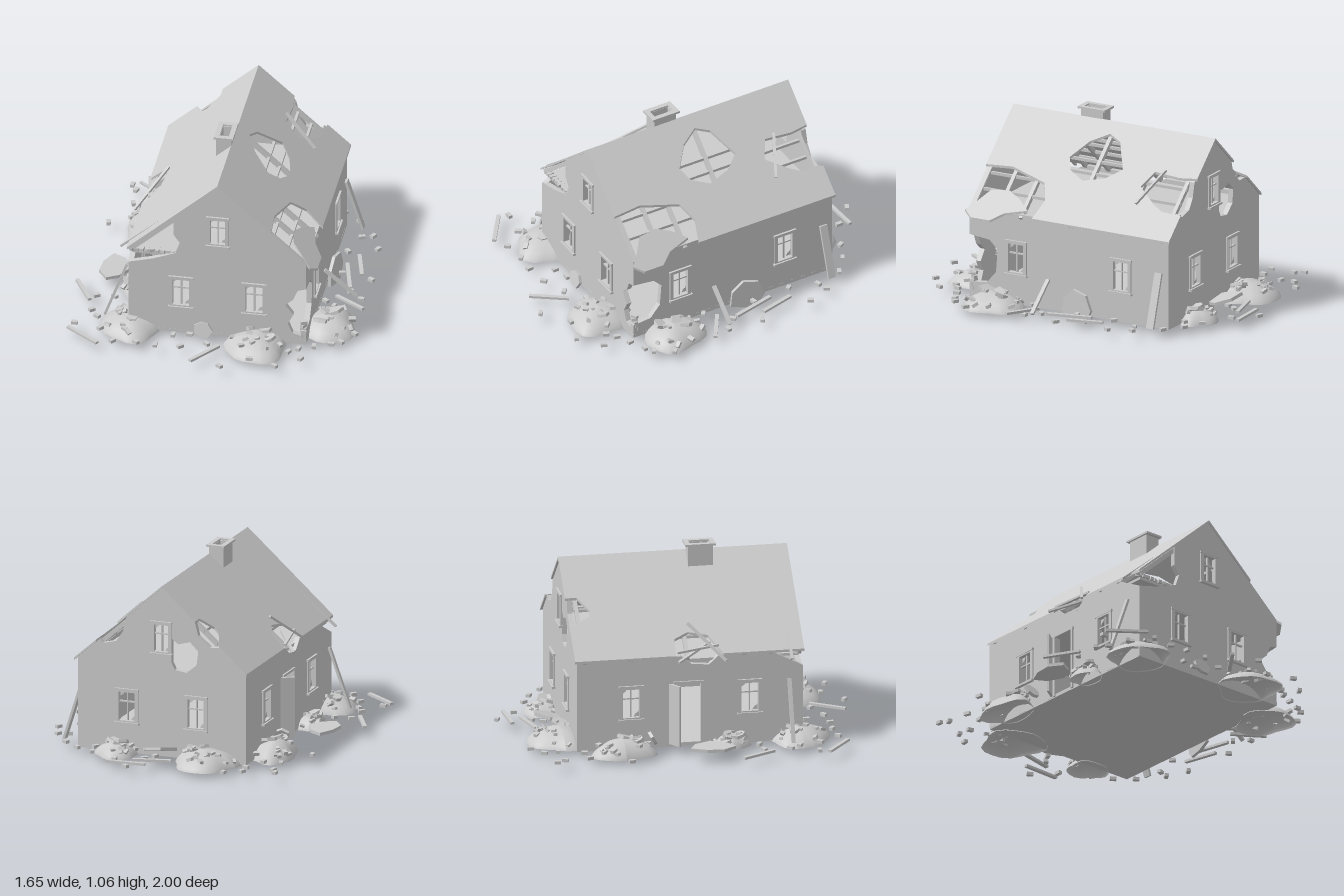
import * as THREE from 'three';

const RIDGE_X = 0.047, RIDGE_Y = 0.985, SLOPE = 0.89;
const X0 = -0.455, X1 = 0.548, Z0 = -0.645, Z1 = 0.63;
const roofY = x => RIDGE_Y - SLOPE * Math.abs(x - RIDGE_X);

export function createModel() {
  const root = new THREE.Group();
  const mat = new THREE.MeshStandardMaterial({ color: 0xcccccc, flatShading: true, side: THREE.DoubleSide });
  const smooth = new THREE.MeshStandardMaterial({ color: 0xcccccc, side: THREE.DoubleSide });
  let seed = 7;
  const rnd = (a = 0, b = 1) => {
    seed = (seed * 16807) % 2147483647;
    return a + (b - a) * seed / 2147483647;
  };
  const add = (name, geo, parent = root, m = mat) => {
    const mesh = new THREE.Mesh(geo, m);
    mesh.name = name;
    parent.add(mesh);
    return mesh;
  };
  const group = (name, parent = root) => {
    const g = new THREE.Group();
    g.name = name;
    parent.add(g);
    return g;
  };
  const box = (name, w, h, d, x, y, z, parent = root) => {
    const m = add(name, new THREE.BoxGeometry(w, h, d), parent);
    m.position.set(x, y, z);
    return m;
  };
  // Straight timber between two points
  const beam = (name, a, b, w, h, parent = root) => {
    const p = new THREE.Vector3(...a), q = new THREE.Vector3(...b);
    const m = add(name, new THREE.BoxGeometry(w, h, p.distanceTo(q)), parent);
    m.position.copy(p).lerp(q, 0.5);
    m.lookAt(q);
    return m;
  };
  const poly = pts => pts.map(p => new THREE.Vector2(p[0], p[1]));
  const plate = (outline, holes, depth) => {
    const s = new THREE.Shape(poly(outline));
    holes.forEach(h => s.holes.push(new THREE.Path(poly(h))));
    return new THREE.ExtrudeGeometry(s, { depth, bevelEnabled: false });
  };
  const rect = (cx, y0, w, h) => [[cx - w / 2, y0], [cx + w / 2, y0], [cx + w / 2, y0 + h], [cx - w / 2, y0 + h]];
  const W = 0.11, H = 0.18, WY = 0.18, T = 0.03;
  const win = cx => rect(cx, WY, W, H);
  const attic = rect(0.05, 0.6, 0.1, 0.17);
  const under = x => roofY(x) - 0.012;

  // Floors
  box('groundFloor', X1 - X0, 0.02, Z1 - Z0, 0.047, 0.015, -0.007);
  box('atticFloor', X1 - X0 - 0.04, 0.015, Z1 - Z0 - 0.04, 0.047, 0.495, -0.007);

  // Gable walls with broken edges
  add('frontWall', plate([[X0, 0.01], [X1, 0.01], [X1, 0.05], [0.47, 0.07], [0.445, 0.13], [0.475, 0.19], [0.43, 0.25],
    [0.475, 0.29], [0.5, 0.35], [X1, 0.365], [X1, under(X1)], [RIDGE_X, under(RIDGE_X)], [-0.2, under(-0.2)],
    [-0.2, 0.64], [-0.165, 0.59], [-0.19, 0.52], [-0.32, 0.47], [X0, 0.435]],
  [win(-0.157), win(0.255), attic], T)).translateZ(Z1 - T);
  add('backWall', plate([[X0, 0.01], [X1, 0.01], [X1, under(X1)], [0.42, under(0.42)], [0.4, 0.62], [0.32, 0.64], [0.28, 0.7],
    [0.26, under(0.26)], [RIDGE_X, under(RIDGE_X)], [-0.15, under(-0.15)], [-0.17, 0.72], [-0.24, 0.66], [-0.3, under(-0.3)],
    [X0, under(X0)]],
  [win(-0.157), win(0.255), attic,
    [[-0.01, 0.55], [-0.03, 0.51], [-0.1, 0.5], [-0.16, 0.55], [-0.17, 0.63], [-0.12, 0.68], [-0.05, 0.66], [-0.01, 0.69]]],
  T)).translateZ(Z0);

  // Side walls, drawn along z
  const sideWall = (name, outline, holes, x) => {
    const g = plate(outline, holes, T);
    g.rotateY(-Math.PI / 2);
    add(name, g).position.x = x;
  };
  const eave = under(X1);
  sideWall('leftSideWall', [[Z0, 0.01], [Z1, 0.01], [Z1, 0.09], [0.52, 0.1], [0.46, 0.17], [0.45, 0.3], [0.5, 0.35],
    [Z1, 0.365], [Z1, eave], [Z0, eave]], [win(0.33), win(-0.34)], X1);
  sideWall('rightSideWall', [[Z0, 0.01], [-0.09, 0.01], [-0.09, 0.37], [0.06, 0.37], [0.06, 0.01], [Z1, 0.01],
    [Z1, 0.435], [0.52, 0.49], [0.45, eave], [0.16, eave], [0.1, 0.47], [0, 0.48], [-0.06, eave], [Z0, eave]],
  [win(0.33), win(-0.34)], X0 + T);

  // Windows: frame, cross bars, sill, lintel and leftover glass
  const windowFrame = (x, y, z, turn, w = W, h = H) => {
    const g = group('window');
    g.position.set(x, y + h / 2, z);
    g.rotation.y = turn;
    for (const s of [-1, 1]) {
      box('windowJamb', 0.01, h, 0.03, s * (w / 2 - 0.003), 0, -0.006, g);
      box('windowRail', w, 0.01, 0.03, 0, s * (h / 2 - 0.003), -0.006, g);
      box('outerTrim', 0.012, h, 0.008, s * (w / 2 + 0.006), 0, 0.004, g);
      const shard = [[s * w / 2, -s * h / 2], [s * w * 0.12, -s * h / 2], [s * w * 0.25, -s * h * 0.36], [s * w * 0.4, -s * h * 0.3], [s * w / 2, -s * h * 0.12]];
      add('glassShard', new THREE.ShapeGeometry(new THREE.Shape(poly(shard))), g).position.z = -0.016;
    }
    box('mullion', 0.008, h, 0.012, 0, 0, -0.012, g);
    box('crossBar', w, 0.008, 0.012, 0, h * 0.14, -0.012, g);
    box('sill', w + 0.035, 0.012, 0.025, 0, -h / 2 - 0.006, 0.006, g);
    box('lintel', w + 0.03, 0.012, 0.014, 0, h / 2 + 0.006, 0.005, g);
  };
  for (const x of [-0.157, 0.255]) {
    windowFrame(x, WY, Z1, 0);
    windowFrame(x, WY, Z0, Math.PI);
  }
  windowFrame(0.05, 0.6, Z1, 0, 0.1, 0.17);
  windowFrame(0.05, 0.6, Z0, Math.PI, 0.1, 0.17);
  for (const z of [0.33, -0.34]) {
    windowFrame(X1, WY, z, Math.PI / 2);
    windowFrame(X0, WY, z, -Math.PI / 2);
  }

  // Door standing open
  for (const z of [-0.09, 0.06]) box('doorJamb', 0.04, 0.37, 0.012, X0 + 0.01, 0.195, z);
  box('doorHead', 0.04, 0.014, 0.17, X0 + 0.01, 0.375, -0.015);
  box('doorLeaf', 0.09, 0.35, 0.014, X0 - 0.027, 0.195, -0.1).rotation.y = 0.6;

  // Roof slopes, drawn in plan and sheared to the pitch
  const roofPart = (name, outline, holes = [], lift = 0) => {
    const g = plate(outline, holes, 0.014), p = g.attributes.position;
    for (let i = 0; i < p.count; i++) {
      const x = p.getX(i), z = p.getY(i);
      p.setXYZ(i, x, roofY(x) - p.getZ(i) + lift, z);
    }
    g.computeVertexNormals();
    add(name, g);
  };
  const RL = -0.462, RR = 0.567, RB = -0.657, RF = 0.637;
  roofPart('leftRoofSlope', [[RIDGE_X, RB], [0.25, RB], [0.26, -0.55], [0.25, -0.39], [0.33, -0.34], [0.4, -0.46], [0.43, -0.53],
    [0.435, RB], [RR, RB], [RR, 0.22], [0.47, 0.19], [0.39, 0.24], [0.34, 0.47], [0.35, RF], [RIDGE_X, RF]],
  [[[0.11, -0.02], [0.14, -0.1], [0.265, -0.19], [0.32, -0.11], [0.35, 0.02], [0.31, 0.12], [0.25, 0.16], [0.16, 0.08]]]);
  roofPart('rightRoofSlope', [[RIDGE_X, RB], [RIDGE_X, RF], [RL, RF], [RL, 0.18], [-0.37, 0.11], [-0.35, 0], [-0.38, -0.08],
    [RL, -0.09], [RL, RB], [-0.3, RB], [-0.25, -0.54], [-0.22, -0.53], [-0.155, -0.59], [-0.155, RB]]);
  roofPart('brokenRoofPiece', [[0.45, 0.43], [0.48, 0.35], [0.53, 0.27], [0.56, 0.4], [0.605, 0.47], [0.605, 0.59],
    [0.57, 0.645], [0.53, 0.6], [0.46, 0.54]], [], -0.005);

  // Rafters and purlins
  const frame = group('roofFrame');
  for (const z of [-0.6, -0.34, -0.02, 0.3, 0.45, 0.61])
    for (const x of [-0.45, 0.55])
      beam('rafter', [RIDGE_X, RIDGE_Y - 0.035, z], [x, roofY(x) - 0.035, z], 0.022, 0.025, frame);
  for (const dx of [0.175, 0.235, 0.31, 0.39])
    for (const s of [-1, 1]) {
      const x = RIDGE_X + s * dx;
      beam('purlin', [x, roofY(x) - 0.035, Z0 + T], [x, roofY(x) - 0.035, Z1 - T], 0.016, 0.016, frame);
    }
  [[-0.512, 0.51, -0.08, -0.36, 0.57, 0.12], [-0.5, 0.5, 0.19, -0.34, 0.68, 0], [-0.46, 0.55, -0.08, -0.42, 0.57, 0.16],
    [0.24, 0.82, -0.45, 0.42, 0.66, -0.36], [-0.51, 0.49, 0.56, -0.3, 0.67, 0.56]]
    .forEach(b => beam('looseRafter', b.slice(0, 3), b.slice(3), 0.016, 0.012, frame));

  // Hollow chimney with cap
  const ring = (name, w, d, t, h, y) => add(name, plate(rect(0, -d / 2, w, d), [rect(0, -d / 2 + t, w - 2 * t, d - 2 * t)], h)
    .rotateX(-Math.PI / 2)).position.set(0.006, y, 0.133);
  ring('chimneyStack', 0.085, 0.14, 0.018, 0.14, 0.89);
  ring('chimneyCap', 0.108, 0.172, 0.028, 0.012, 1.027);

  // Bricks
  const rubble = group('rubble');
  const brick = (x, y, z, tilt = 0, s = 1) =>
    box('brick', 0.036 * s, 0.018 * s, 0.023 * s, x, y, z, rubble).rotation.set(rnd(-tilt, tilt), rnd(0, 6.3), rnd(-tilt, tilt));
  [[0.13, -0.985], [-0.42, -0.9], [0.24, -0.87], [-0.51, -0.84], [-0.69, -0.8], [-0.66, -0.75], [-0.5, -0.76], [0.09, -0.8],
    [0.05, -0.74], [0.52, -0.73], [0.41, -0.78], [0.43, -0.68], [-0.65, -0.61], [-0.55, -0.62], [-0.75, -0.39], [0.62, -0.65],
    [0.66, -0.49], [0.72, -0.51], [0.77, -0.38], [0.61, -0.33], [0.62, -0.1], [0.79, -0.06], [0.7, 0.08], [0.77, 0.15],
    [0.58, 0.2], [-0.68, 0.37], [-0.58, 0.36], [-0.68, 0.52], [-0.64, 0.58], [-0.75, 0.67], [-0.6, 0.7], [-0.51, 0.82],
    [-0.38, 0.81], [-0.27, 0.82], [-0.19, 0.7], [-0.13, 0.81], [-0.1, 0.68], [0.01, 0.76], [0.12, 0.975], [0.27, 0.87],
    [0.42, 0.92], [0.47, 0.76], [0.55, 0.82], [0.52, 0.72], [0.6, 0.68], [0.69, 0.64], [0.74, 0.61], [0.8, 0.51]]
    .forEach(([x, z]) => brick(x, 0.03, z));
  for (let i = 0; i < 9; i++) brick(-0.44 + i * 0.029, 0.512, 0.605);
  for (let i = 0; i < 5; i++) brick(0.53, 0.055 + i * 0.02, 0.61);

  // Flat broken wall chunk
  const chunk = (x, y, z, r, rx, ry, rz, sx = 1) => {
    const pts = [];
    for (let i = 0; i < 7; i++) {
      const a = i / 7 * Math.PI * 2, k = r * rnd(0.75, 1.1);
      pts.push([Math.cos(a) * k * sx, Math.sin(a) * k]);
    }
    const m = add('wallChunk', plate(pts, [], 0.018), rubble);
    m.position.set(x, y, z);
    m.rotation.set(rx, ry, rz);
  };
  chunk(-0.635, 0.035, 0.09, 0.135, -1.57, 0, 0, 0.7);
  chunk(-0.03, 0.055, 0.655, 0.055, -0.25, 0, 0);
  chunk(0.575, 0.055, -0.08, 0.1, 0, 1.4, 0);
  chunk(0.03, 0.05, -0.695, 0.11, -1.3, 0.1, 0.1, 1);
  chunk(-0.5, 0.07, -0.235, 0.05, -0.5, 0, 0);

  // Rubble heaps: x, z, half widths, height
  [[-0.235, -0.7, 0.18, 0.18, 0.09], [0.3, -0.69, 0.12, 0.11, 0.07], [-0.53, -0.4, 0.12, 0.18, 0.09], [-0.49, 0.22, 0.08, 0.1, 0.07],
    [-0.44, 0.61, 0.17, 0.17, 0.08], [0.28, 0.7, 0.17, 0.18, 0.08], [0.64, 0.42, 0.15, 0.18, 0.085]]
    .forEach(([x, z, rx, rz, h], n) => {
      const g = new THREE.SphereGeometry(1, 20, 5, 0, Math.PI * 2, 0, Math.PI / 2), p = g.attributes.position;
      for (let i = 0; i < p.count; i++) {
        const a = Math.atan2(p.getZ(i), p.getX(i));
        const k = 1 + 0.08 * Math.sin(3 * a + n) + 0.05 * Math.sin(5 * a + 2 * n);
        p.setXYZ(i, p.getX(i) * rx * k, h * Math.pow(p.getY(i), 1.4), p.getZ(i) * rz * k);
      }
      g.computeVertexNormals();
      add('rubbleHeap', g, rubble, smooth).position.set(x, 0, z);
      for (let i = 0; i < 14; i++) {
        const a = rnd(0, 6.28), r = Math.sqrt(rnd(0.05, 0.85));
        const y = h * Math.pow(1 - r * r, 0.7) + 0.008;
        brick(x + Math.cos(a) * r * rx, y, z + Math.sin(a) * r * rz, 0.5, rnd(0.7, 1.1));
      }
      for (let i = 0; i < 3; i++) {
        const a = rnd(0, 6.28), r = rnd(0.15, 0.5);
        chunk(x + Math.cos(a) * r * rx, h * 0.85, z + Math.sin(a) * r * rz, rnd(0.03, 0.055), -1.57 + rnd(-0.4, 0.4), rnd(-0.4, 0.4), 0);
      }
    });

  // Fallen and leaning planks
  const y = 0.03;
  [[0.04, y, -0.915, 0.27, y, -0.925], [-0.07, y, -0.8, 0.14, y, -0.85], [-0.78, y, 0.72, -0.59, y, 0.86],
    [-0.815, y, 0.23, -0.71, y, 0.42], [-0.05, y, 0.95, 0.08, y, 0.77], [0.68, y, -0.3, 0.73, y, -0.1],
    [0.63, y, -0.2, 0.69, y, 0.05], [0.63, y, 0.14, 0.8, y, 0.25], [0.56, 0.18, 0.12, 0.74, y, 0.12],
    [-0.475, 0.37, 0.55, -0.6, 0.03, 0.55]]
    .forEach(b => beam('plank', b.slice(0, 3), b.slice(3), 0.022, 0.014, rubble));
  beam('leaningPlank', [0.555, 0.33, -0.585], [0.65, 0.03, -0.585], 0.045, 0.014, rubble);
  return root;
}
